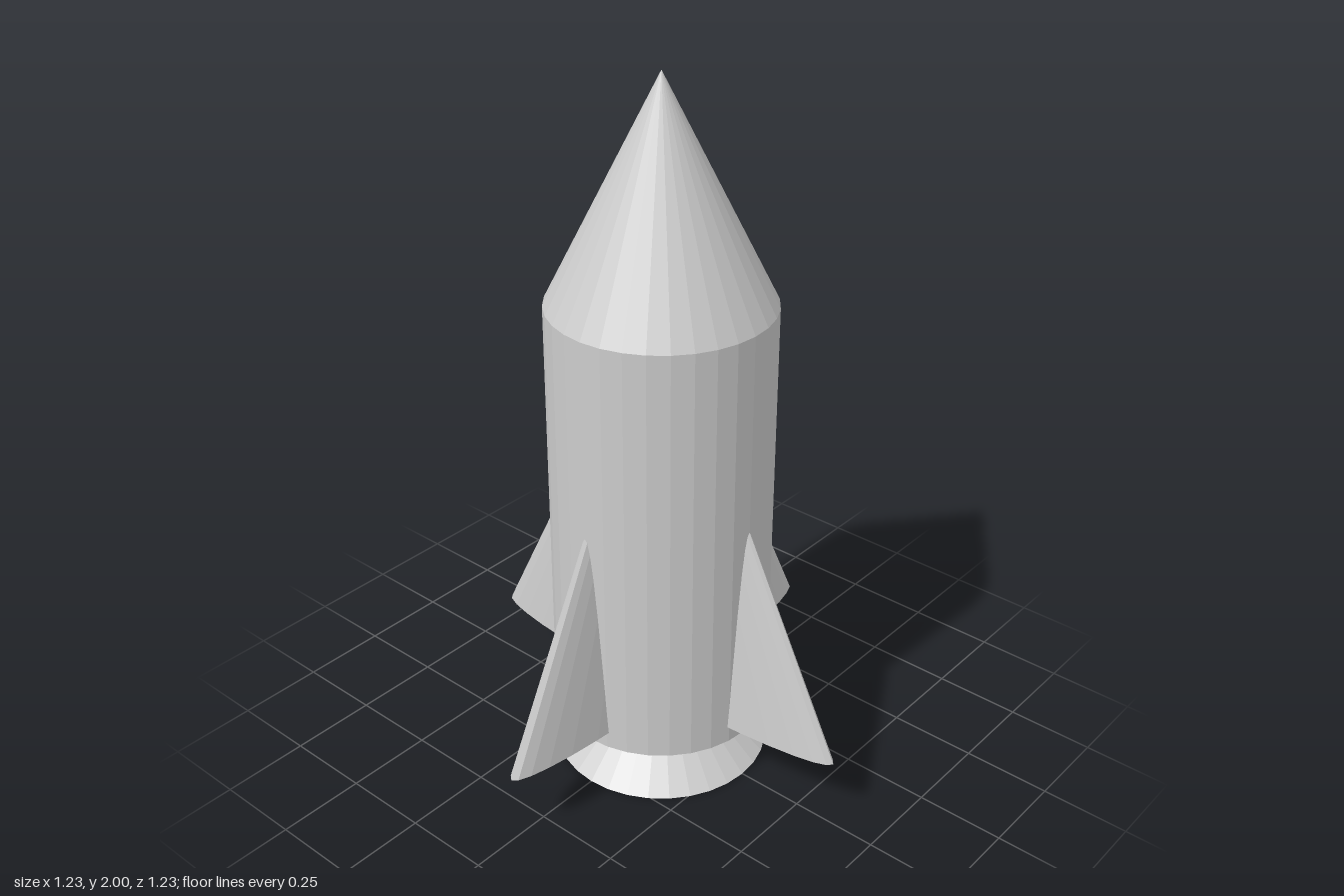
import * as THREE from 'three';

const SIDES = 32;
const R = 0.306; // hull radius

export function createModel() {
  const group = new THREE.Group();
  const material = new THREE.MeshStandardMaterial({ color: 0xcccccc, flatShading: true });

  const add = (name, geometry, baseY, height) => {
    const mesh = new THREE.Mesh(geometry, material);
    mesh.name = name;
    mesh.position.y = baseY + height / 2;
    group.add(mesh);
    return mesh;
  };

  // Hull and pointed nose
  add('body', new THREE.CylinderGeometry(R, R, 1.235, SIDES), 0.155, 1.235);
  add('noseCone', new THREE.ConeGeometry(R, 0.61, SIDES), 1.39, 0.61);

  // Flared engine nozzle, its tip buried in the hull
  add('nozzle', new THREE.ConeGeometry(R, 0.305, SIDES), 0, 0.305);

  // Two crossed, flattened cones: each pokes out of the hull as a pair of fins
  const finHeight = 1.226;
  ['sideFins', 'frontBackFins'].forEach((name, i) => {
    const cone = new THREE.ConeGeometry(0.613, finHeight, SIDES);
    cone.scale(1, 1, 0.122);
    cone.rotateY(i * Math.PI / 2);
    add(name, cone, 0.205, finHeight);
  });

  return group;
}
